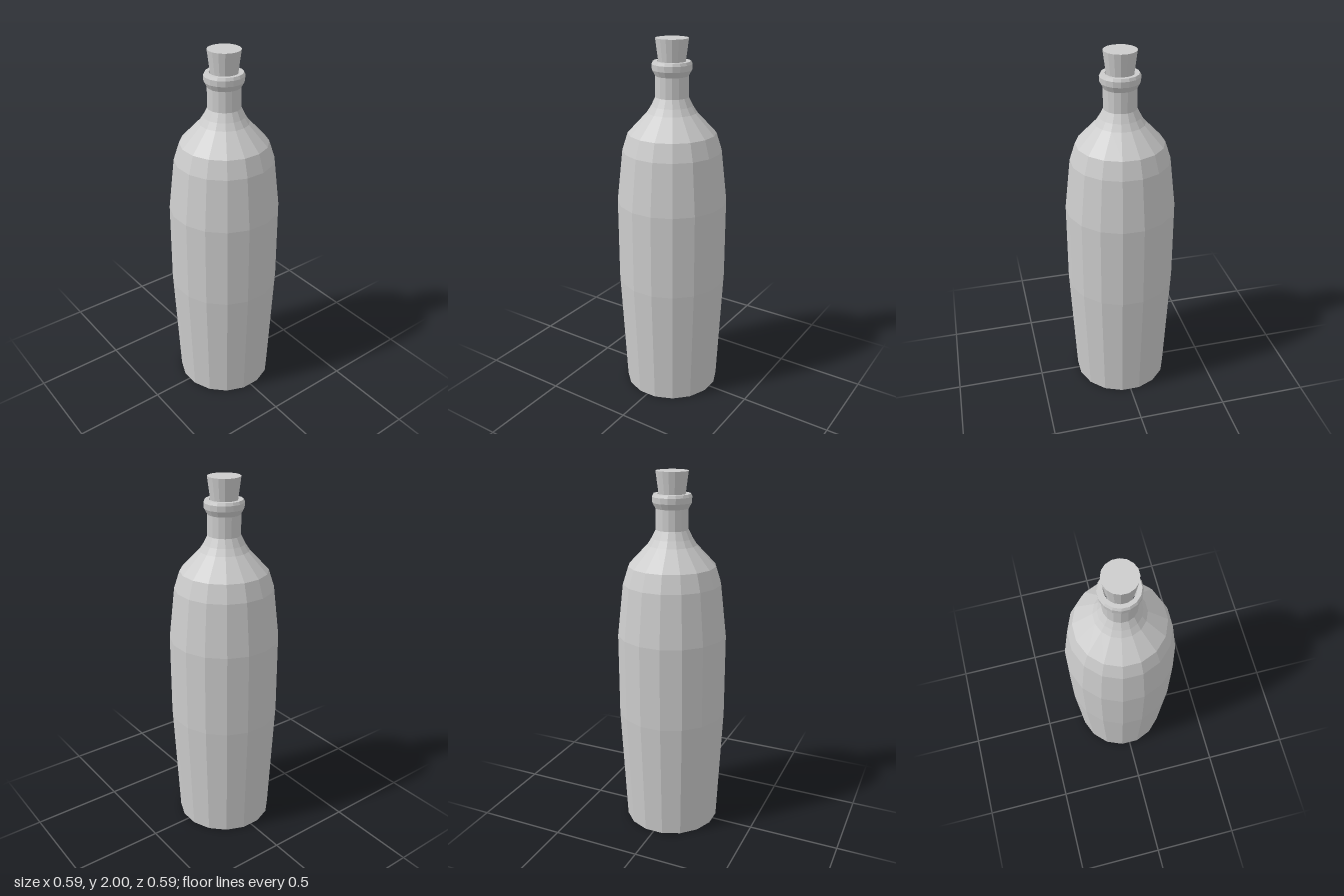
import * as THREE from 'three';

const SIDES = 16;
// Profile half-widths are measured across flats, so scale them to corner radii.
const CORNER = 1 / Math.cos(Math.PI / SIDES);

function turned(name, profile, material) {
  const points = profile.map(([w, y]) => new THREE.Vector2(w * CORNER, y));
  const geometry = new THREE.LatheGeometry(points, SIDES, Math.PI / SIDES);
  const mesh = new THREE.Mesh(geometry, material);
  mesh.name = name;
  return mesh;
}

export function createModel() {
  const grey = new THREE.MeshStandardMaterial({ color: 0xcccccc, flatShading: true });
  grey.name = 'plain grey';

  const group = new THREE.Group();
  group.name = 'corkedBottle';

  // Base, tapering body, shoulder, neck and flared lip with the mouth folded inward
  group.add(turned('bottle', [
    [0, 0], [0.262, 0], [0.294, 0.67], [0.294, 1.13],
    [0.262, 1.415], [0.232, 1.51], [0.13, 1.62], [0.108, 1.655], [0.086, 1.7],
    [0.086, 1.81], [0.102, 1.84], [0.104, 1.87], [0.097, 1.885],
    [0.076, 1.885], [0.07, 1.86], [0.066, 1.78],
  ], grey));

  // Tapered stopper seated in the mouth
  group.add(turned('stopper', [
    [0, 1.79], [0.056, 1.79], [0.07, 1.885], [0.085, 2], [0, 2],
  ], grey));

  return group;
}
